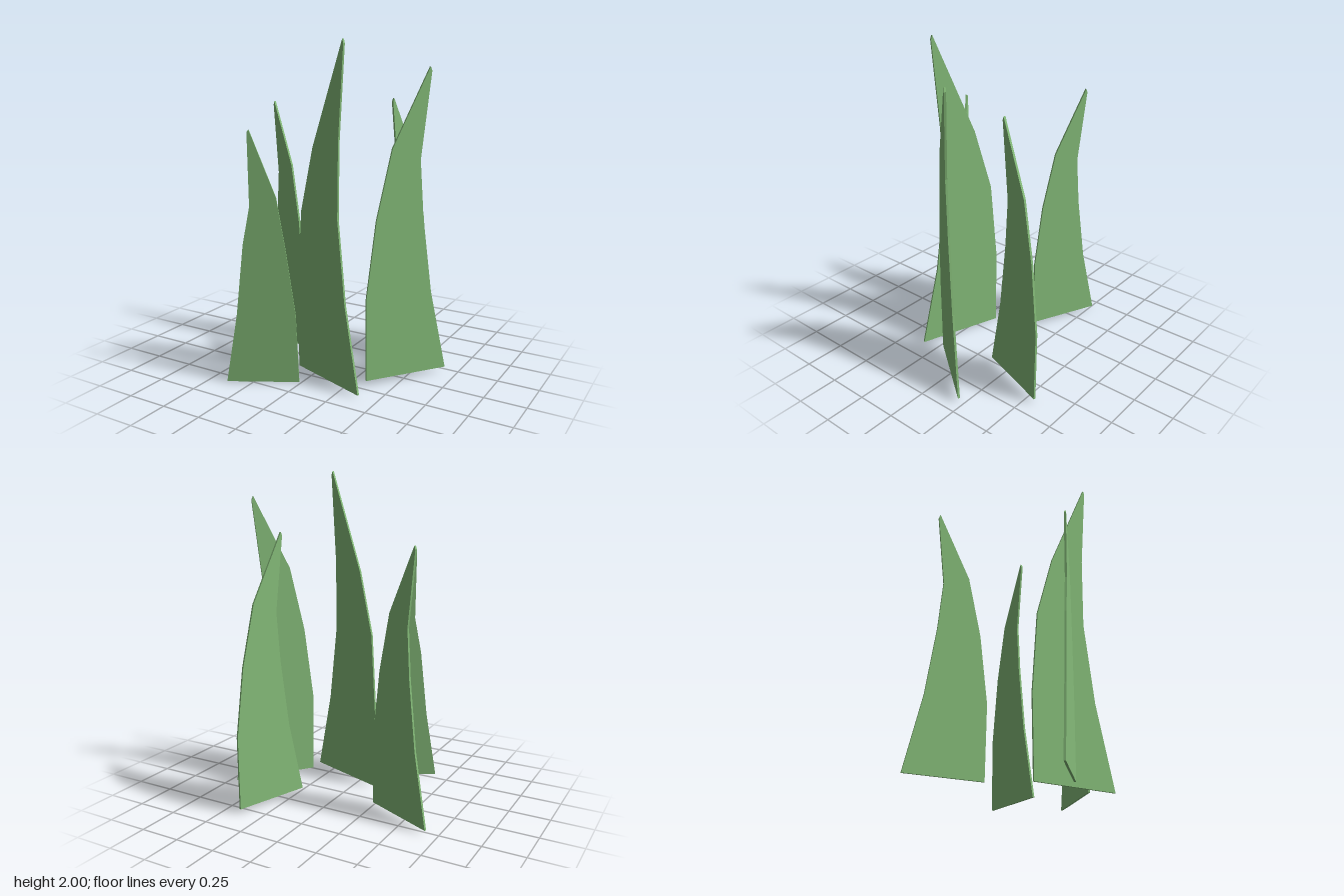
import * as THREE from 'three';

const THICK = 0.012;

// Blade outline as fractions of width (inner edge 0, flared edge 1) and height
const COMMON = {
  flared: [[1, 0], [0.79, 0.275], [0.67, 0.53], [0.62, 0.713], [0.73, 0.987]],
  inner: [[0.712, 1], [0.285, 0.753], [0.11, 0.53], [0, 0.275], [0.01, 0]],
};
const TALL = {
  flared: [[1, 0], [0.787, 0.255], [0.67, 0.5], [0.68, 0.72], [0.755, 0.988]],
  inner: [[0.74, 1], [0.27, 0.695], [0.07, 0.5], [0, 0.25], [0.012, 0]],
};
const SHORT = {
  flared: [[1, 0], [0.84, 0.28], [0.735, 0.56], [0.635, 0.71], [0.645, 0.99]],
  inner: [[0.62, 1], [0.28, 0.745], [0.16, 0.53], [0.04, 0.28], [0, 0]],
};

// from/to: ground positions [x, z] of the inner and the flared edge
const BLADES = [
  { name: 'leftBlade', from: [-0.247, -0.066], to: [-0.673, -0.26], base: 0.02, top: 1.61, outline: COMMON },
  { name: 'centreBlade', from: [-0.137, 0.17], to: [0.38, 0.353], base: 0.012, top: 2, outline: TALL },
  { name: 'rightBlade', from: [0.346, 0.205], to: [0.669, -0.222], base: 0.033, top: 1.85, outline: COMMON },
  { name: 'backBlade', from: [0.393, -0.567], to: [0.238, -0.115], base: 0.03, top: 1.655, outline: COMMON },
  { name: 'frontBlade', from: [-0.017, 0.358], to: [-0.395, 0.564], base: 0.003, top: 1.51, outline: SHORT, lean: -0.011 },
];

function makeBlade({ name, from, to, base, top, outline, lean = 0 }, material) {
  const dx = to[0] - from[0], dz = to[1] - from[1];
  const width = Math.hypot(dx, dz);
  const points = [...outline.flared, ...outline.inner]
    .map(([u, v]) => new THREE.Vector2(u * width, v * (top - base)));

  const geometry = new THREE.ExtrudeGeometry(new THREE.Shape(points), { depth: THICK, bevelEnabled: false });
  geometry.translate(0, 0, -THICK / 2);

  const blade = new THREE.Mesh(geometry, material);
  blade.name = name;
  blade.position.set(from[0], base, from[1]);
  blade.rotation.set(lean, Math.atan2(-dz, dx), 0, 'YXZ');
  return blade;
}

export function createModel() {
  const group = new THREE.Group();
  group.name = 'grassTuft';
  const green = new THREE.MeshStandardMaterial({ color: 0x86bd7a });
  for (const spec of BLADES) group.add(makeBlade(spec, green));
  return group;
}
